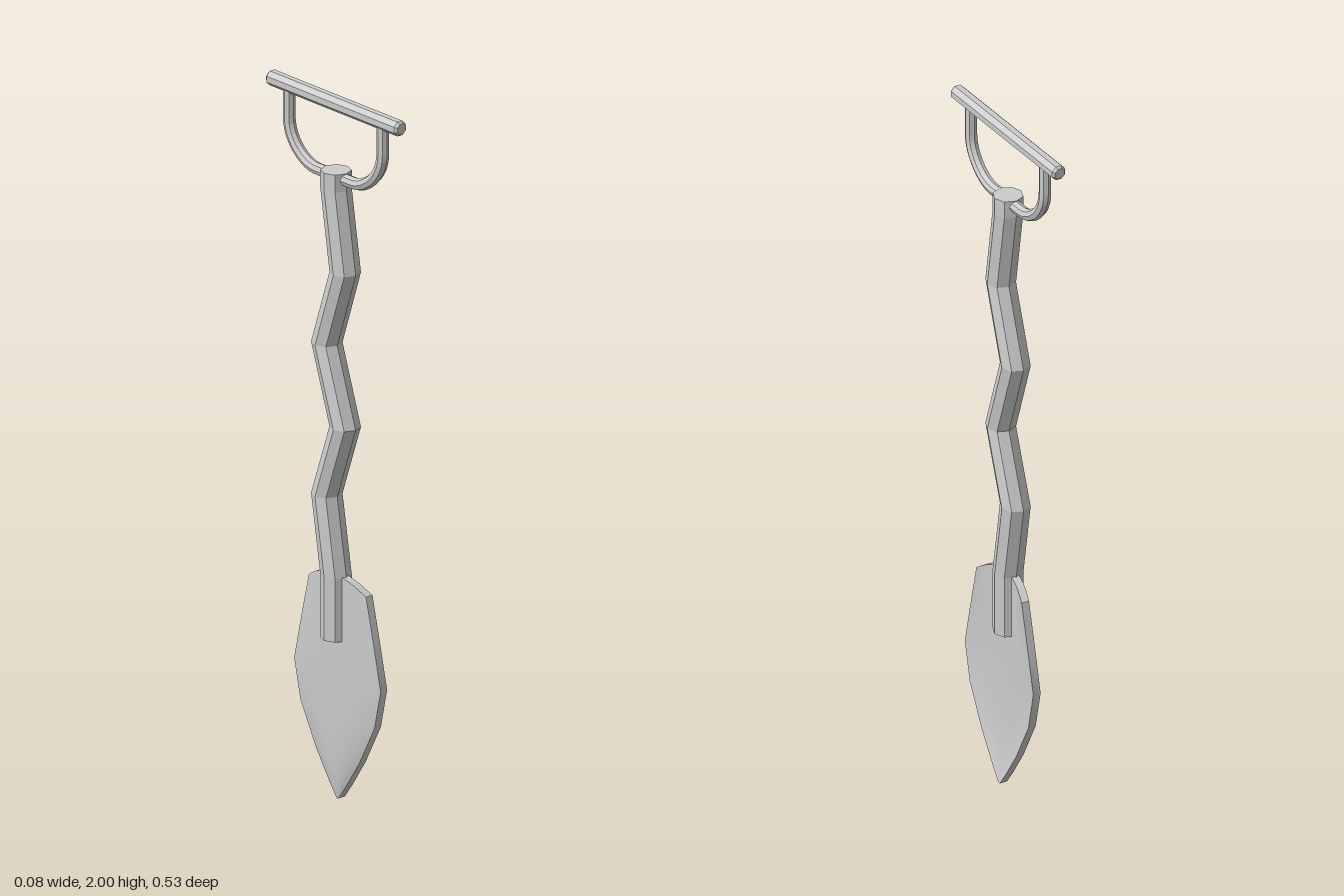
import * as THREE from 'three';
import { toCreasedNormals } from 'three/addons/utils/BufferGeometryUtils.js';

const smooth = new THREE.MeshStandardMaterial({ color: 0xcccccc });
const flat = new THREE.MeshStandardMaterial({ color: 0xcccccc, flatShading: true });

function part(name, geometry, material) {
  const mesh = new THREE.Mesh(geometry, material);
  mesh.name = name;
  return mesh;
}

// Octagonal shaft whose rings are shifted in z to form the zigzag
function shaftGeometry() {
  const stations = [
    [1.79, 0], [1.74, 0], [1.51, 0.037], [1.29, -0.037],
    [1.07, 0.037], [0.86, -0.037], [0.64, 0], [0.46, 0],
  ];
  const n = stations.length - 1;
  const geo = new THREE.CylinderGeometry(0.042, 0.042, 1, 8, n);
  const pos = geo.attributes.position;
  for (let i = 0; i < pos.count; i++) {
    const [y, z] = stations[Math.round((0.5 - pos.getY(i)) * n)];
    pos.setY(i, y);
    pos.setZ(i, pos.getZ(i) + z);
  }
  return geo;
}

// Cupped leaf-shaped blade: rim lies forward of the centre line on +x
function bladeGeometry() {
  // half width, rim y, centre y, centre x
  const rows = [
    [0.115, 0.605, 0.647, -0.013], [0.145, 0.48, 0.49, -0.013],
    [0.174, 0.352, 0.355, -0.013], [0.149, 0.24, 0.24, -0.013],
    [0.088, 0.124, 0.122, -0.011], [0.036, 0.045, 0.043, -0.003],
    [0.004, 0.001, 0, 0.004],
  ];
  const cols = 12, last = rows.length - 1;
  const rimX = 0.005, thickness = 0.023;
  const point = (i, j, front) => {
    const [w, rimY, midY, midX] = rows[i];
    const t = (j / cols) * 2 - 1, s = t * t;
    const x = THREE.MathUtils.lerp(midX, rimX, s) + (front ? thickness : 0);
    return [x, THREE.MathUtils.lerp(midY, rimY, s), t * w];
  };
  const out = [];
  const quad = (a, b, c, d) => out.push(...a, ...b, ...c, ...a, ...c, ...d);

  // Both faces
  for (let i = 0; i < last; i++) {
    for (let j = 0; j < cols; j++) {
      const ring = [[i, j], [i, j + 1], [i + 1, j + 1], [i + 1, j]];
      quad(...ring.map(([r, c]) => point(r, c, true)));
      quad(...ring.reverse().map(([r, c]) => point(r, c, false)));
    }
  }
  // Edge strip around the outline
  const loop = [];
  for (let j = 0; j < cols; j++) loop.push([0, j]);
  for (let i = 0; i < last; i++) loop.push([i, cols]);
  for (let j = cols; j > 0; j--) loop.push([last, j]);
  for (let i = last; i > 0; i--) loop.push([i, 0]);
  loop.forEach((p, k) => {
    const q = loop[(k + 1) % loop.length];
    quad(point(...p, false), point(...q, false), point(...q, true), point(...p, true));
  });

  const geo = new THREE.BufferGeometry();
  geo.setAttribute('position', new THREE.Float32BufferAttribute(out, 3));
  return toCreasedNormals(geo, 0.5);
}

// U-shaped bracket joining the grip to the shaft
function bracketGeometry() {
  const side = 0.188, bottom = 1.772, r = 0.115, k = r * 0.45;
  const v = (z, y) => new THREE.Vector3(0, y, z);
  const path = new THREE.CurvePath();
  path.add(new THREE.LineCurve3(v(side, 1.98), v(side, bottom + r)));
  path.add(new THREE.CubicBezierCurve3(
    v(side, bottom + r), v(side, bottom + k), v(side - k - 0.012, bottom), v(side - r, bottom)));
  path.add(new THREE.LineCurve3(v(side - r, bottom), v(r - side, bottom)));
  path.add(new THREE.CubicBezierCurve3(
    v(r - side, bottom), v(k + 0.012 - side, bottom), v(-side, bottom + k), v(-side, bottom + r)));
  path.add(new THREE.LineCurve3(v(-side, bottom + r), v(-side, 1.98)));
  return new THREE.TubeGeometry(path, 44, 0.017, 8, false);
}

// Octagonal grip bar with chamfered ends
function gripGeometry() {
  const profile = [[0, -0.264], [0.016, -0.264], [0.022, -0.257],
    [0.022, 0.257], [0.016, 0.264], [0, 0.264]].map(([x, y]) => new THREE.Vector2(x, y));
  return new THREE.LatheGeometry(profile, 8)
    .rotateY(Math.PI / 8)
    .rotateX(Math.PI / 2)
    .translate(0, 1.9797, 0);
}

export function createModel() {
  const group = new THREE.Group();
  group.name = 'zigzagSpade';
  group.add(
    part('shaft', shaftGeometry(), flat),
    part('blade', bladeGeometry(), smooth),
    part('handleBracket', bracketGeometry(), flat),
    part('gripBar', gripGeometry(), flat),
  );
  return group;
}
